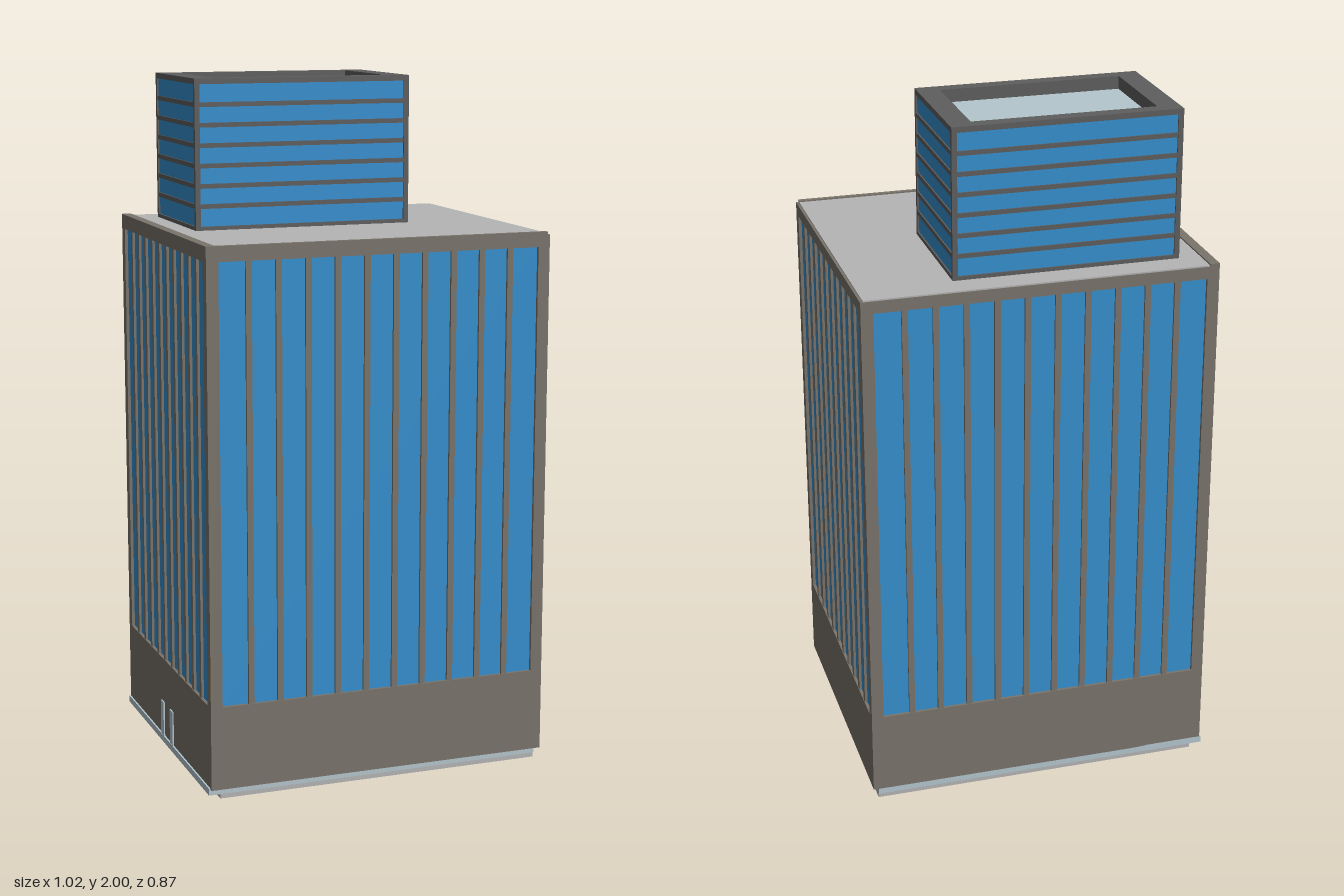
import * as THREE from 'three';

const mat = (color) => new THREE.MeshStandardMaterial({ color });
const wall = mat(0x7a756c), glass = mat(0x3590d0), roofGrey = mat(0xb5b5b5);
const dark = mat(0x5e5e5e), pale = mat(0xb5c6ce);

// Box given by its limits on each axis
function box(parent, name, material, [x0, x1], [y0, y1], [z0, z1]) {
  const mesh = new THREE.Mesh(new THREE.BoxGeometry(x1 - x0, y1 - y0, z1 - z0), material);
  mesh.position.set((x0 + x1) / 2, (y0 + y1) / 2, (z0 + z1) / 2);
  mesh.name = name;
  parent.add(mesh);
  return mesh;
}

function rectangle(Type, x0, x1, y0, y1) {
  const s = new Type();
  s.moveTo(x0, y0);
  s.lineTo(x1, y0);
  s.lineTo(x1, y1);
  s.lineTo(x0, y1);
  s.closePath();
  return s;
}

// Plate with one rectangular opening
function frame(parent, name, material, outer, hole, depth) {
  const shape = rectangle(THREE.Shape, ...outer);
  shape.holes.push(rectangle(THREE.Path, ...hole));
  const mesh = new THREE.Mesh(new THREE.ExtrudeGeometry(shape, { depth, bevelEnabled: false }), material);
  mesh.name = name;
  parent.add(mesh);
  return mesh;
}

// Wall panel facing +z with its back on z = 0: frame, recessed glass and dividing bars
function facade({ name, width, y0, y1, half, g0, g1, panes, bar, depth, material, horizontal }) {
  const g = new THREE.Group();
  g.name = name;
  frame(g, 'wallFrame', material, [-width / 2, width / 2, y0, y1], [-half, half, g0, g1], depth);
  box(g, 'windowGlass', glass, [-half, half], [g0, g1], [-0.002, depth * 0.4]);
  for (let i = 1; i < panes; i++) {
    const t = i / panes;
    if (horizontal) {
      const y = g0 + (g1 - g0) * t;
      box(g, 'windowBar', material, [-half, half], [y - bar / 2, y + bar / 2], [0, depth * 0.9]);
    } else {
      const x = -half + 2 * half * t;
      box(g, 'windowBar', material, [x - bar / 2, x + bar / 2], [g0, g1], [0, depth * 0.9]);
    }
  }
  return g;
}

// Four facades around a rectangular block
function surround(parent, halfX, halfZ, glassX, glassZ, options) {
  const d = options.depth;
  ['front', 'left', 'back', 'right'].forEach((side, i) => {
    const across = i % 2 === 0;
    const f = facade({
      ...options,
      name: side + 'Facade',
      width: across ? 2 * halfX : 2 * (halfZ - d),
      half: across ? glassX : glassZ,
    });
    const a = (i * Math.PI) / 2;
    f.rotation.y = a;
    f.position.set(Math.sin(a) * (halfX - d), 0, Math.cos(a) * (halfZ - d));
    parent.add(f);
  });
}

export function createModel() {
  const model = new THREE.Group();
  model.name = 'officeTower';

  // Ground slab in two steps
  box(model, 'lowerSlab', roofGrey, [-0.48, 0.495], [0, 0.02], [-0.43, 0.42]);
  box(model, 'upperSlab', pale, [-0.515, 0.495], [0.015, 0.035], [-0.435, 0.425]);

  // Main block
  const tower = new THREE.Group();
  tower.name = 'mainBlock';
  model.add(tower);
  box(tower, 'core', wall, [-0.495, 0.495], [0.032, 1.56], [-0.42, 0.42]);
  surround(tower, 0.51, 0.435, 0.475, 0.405, {
    y0: 0.032, y1: 1.565, g0: 0.275, g1: 1.53, panes: 11, bar: 0.017, depth: 0.015, material: wall,
  });

  // Roof and parapet edges
  box(tower, 'roof', roofGrey, [-0.485, 0.503], [1.55, 1.569], [-0.433, 0.422]);
  box(tower, 'sideParapet', wall, [-0.51, -0.482], [1.55, 1.573], [-0.435, 0.435]);
  box(tower, 'frontParapet', wall, [-0.482, 0.503], [1.55, 1.573], [0.42, 0.435]);

  // Side entrance: two pale door panels
  for (const [z0, z1] of [[-0.07, -0.04], [0.025, 0.055]]) {
    box(tower, 'doorPanel', pale, [-0.514, -0.505], [0.035, 0.14], [z0, z1]);
  }

  // Penthouse with horizontal window bands
  const penthouse = new THREE.Group();
  penthouse.name = 'penthouse';
  penthouse.position.set(-0.0925, 0, -0.155);
  model.add(penthouse);
  box(penthouse, 'penthouseCore', dark, [-0.32, 0.32], [1.56, 1.95], [-0.193, 0.193]);
  surround(penthouse, 0.327, 0.2, 0.312, 0.188, {
    y0: 1.565, y1: 1.985, g0: 1.58, g1: 1.984, panes: 7, bar: 0.013, depth: 0.008, material: dark, horizontal: true,
  });

  // Rim around the sunken skylight
  const rim = frame(penthouse, 'roofRim', dark, [-0.327, 0.327, -0.2, 0.2], [-0.263, 0.263, -0.16, 0.16], 0.016);
  rim.rotation.x = -Math.PI / 2;
  rim.position.y = 1.984;
  const curb = frame(penthouse, 'skylightCurb', dark, [-0.319, 0.319, -0.192, 0.192], [-0.263, 0.263, -0.16, 0.16], 0.04);
  curb.rotation.x = -Math.PI / 2;
  curb.position.y = 1.945;
  box(penthouse, 'skylight', pale, [-0.264, 0.264], [1.94, 1.963], [-0.161, 0.161]);

  return model;
}
